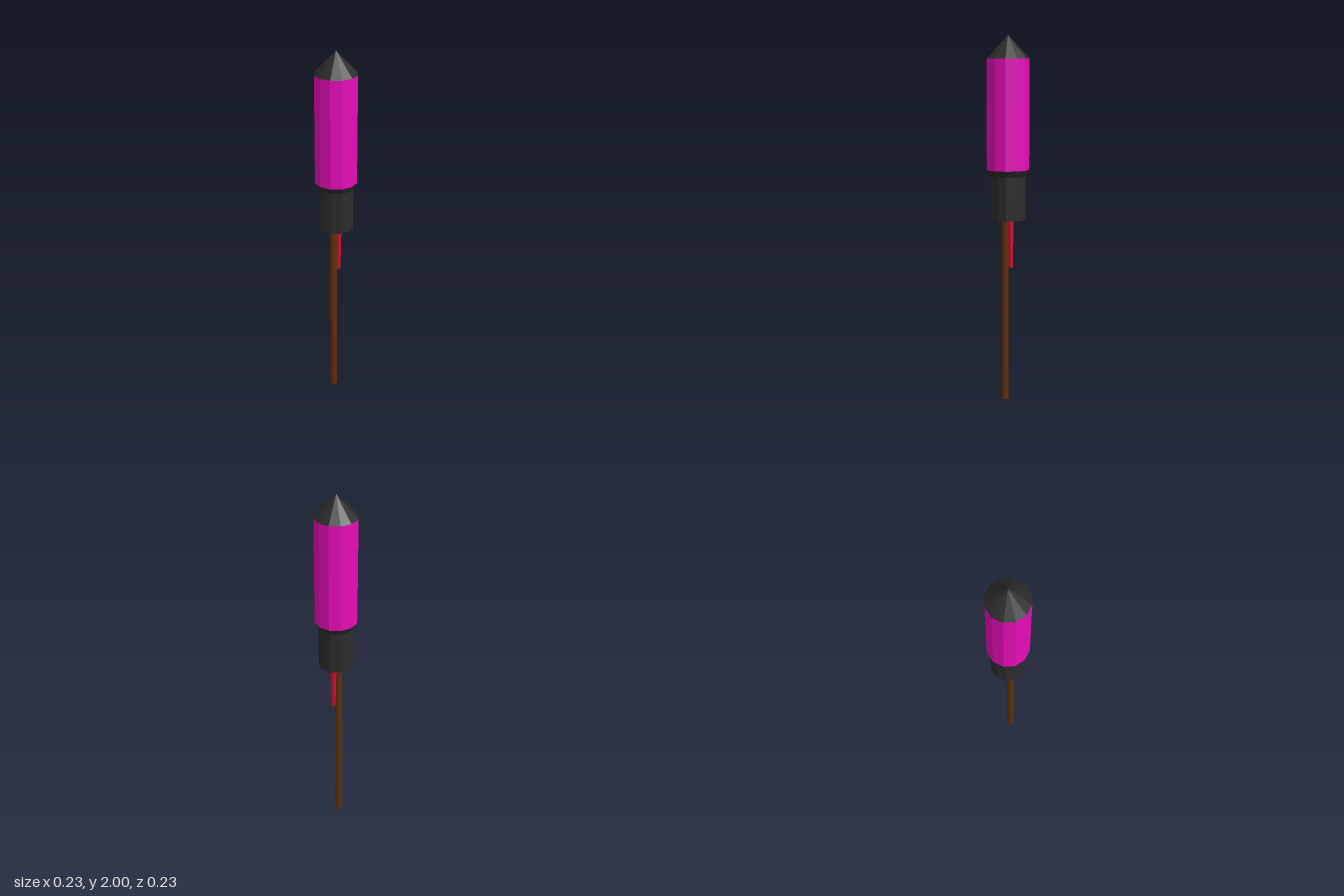
import * as THREE from 'three';

const material = (color) => new THREE.MeshStandardMaterial({ color, flatShading: true });

export function createModel() {
  const group = new THREE.Group();
  const dark = material(0x2b2b2b);

  // Tapered round part standing between two heights
  function addRound(name, mat, rTop, rBottom, yBottom, yTop, sides, z = 0, open = false) {
    const geometry = new THREE.CylinderGeometry(rTop, rBottom, yTop - yBottom, sides, 1, open);
    const mesh = new THREE.Mesh(geometry, mat);
    mesh.name = name;
    mesh.position.set(0, (yBottom + yTop) / 2, z);
    group.add(mesh);
  }

  // Pointed cap and coloured tube
  addRound('noseCone', dark, 0, 0.115, 1.877, 2, 12, 0, true);
  addRound('bodyTube', material(0xe60cb8), 0.115, 0.115, 1.285, 1.877, 12, 0, true);

  // Narrower motor casing with a flared collar, closed underneath
  const profile = [[0, 1.015], [0.095, 1.015], [0.095, 1.25], [0.115, 1.285]];
  const casing = new THREE.Mesh(
    new THREE.LatheGeometry(profile.map(([r, y]) => new THREE.Vector2(r, y)), 12), dark);
  casing.name = 'motorCasing';
  group.add(casing);

  // Guide stick and fuse hang side by side from the casing
  addRound('guideStick', material(0x642d0a), 0.019, 0.019, 0, 1.03, 8, 0.019);
  addRound('fuse', material(0xcc1030), 0.018, 0.012, 0.75, 1.03, 6, -0.019);

  return group;
}
